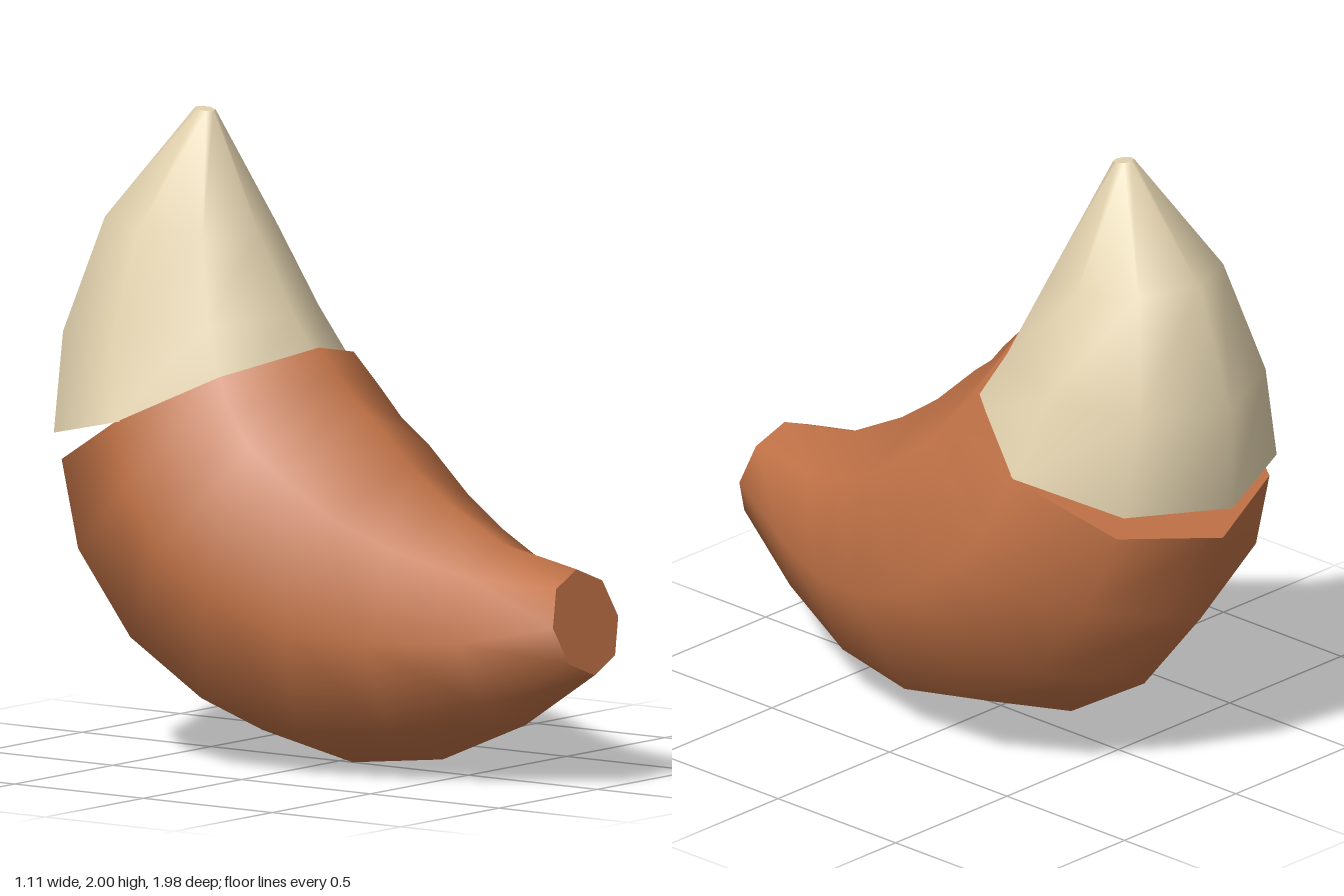
import * as THREE from 'three';

const SIDES = 8;

// Each ring: [innerZ, innerY, outerZ, outerY]; the octagon spans that diameter.
function ringPoints([iz, iy, oz, oy]) {
  const cz = (iz + oz) / 2, cy = (iy + oy) / 2;
  const uz = iz - cz, uy = iy - cy, r = Math.hypot(uz, uy);
  const points = [];
  for (let j = 0; j < SIDES; j++) {
    const a = (j / SIDES) * Math.PI * 2;
    points.push(new THREE.Vector3(Math.sin(a) * r, cy + Math.cos(a) * uy, cz + Math.cos(a) * uz));
  }
  return points;
}

function build(points, index) {
  const geometry = new THREE.BufferGeometry().setFromPoints(points);
  geometry.setIndex(index);
  geometry.computeVertexNormals();
  return geometry;
}

// Smooth skin lofted through the rings
function loft(rings) {
  const index = [];
  for (let i = 0; i < rings.length - 1; i++) {
    for (let j = 0; j < SIDES; j++) {
      const k = (j + 1) % SIDES;
      const a = i * SIDES + j, b = i * SIDES + k;
      index.push(a, b, b + SIDES, a, b + SIDES, a + SIDES);
    }
  }
  return build(rings.flatMap(ringPoints), index);
}

// Flat octagon closing one end
function cap(ring, atStart) {
  const index = [];
  for (let j = 1; j < SIDES - 1; j++) index.push(0, ...(atStart ? [j + 1, j] : [j, j + 1]));
  return build(ringPoints(ring), index);
}

function horn(name, rings, material) {
  const group = new THREE.Group();
  group.name = name;
  const add = (part, geometry) => {
    const mesh = new THREE.Mesh(geometry, material);
    mesh.name = name + part;
    group.add(mesh);
  };
  add('Skin', loft(rings));
  add('StartCap', cap(rings[0], true));
  add('EndCap', cap(rings[rings.length - 1], false));
  return group;
}

export function createModel() {
  const orange = new THREE.MeshStandardMaterial({ color: 0xc27347 });
  orange.name = 'orange';
  const cream = new THREE.MeshStandardMaterial({ color: 0xe2d2ae });
  cream.name = 'cream';

  const model = new THREE.Group();
  model.name = 'curvedTail';

  // Curved body, from the narrow front end round to the wide upper end
  model.add(horn('body', [
    [0.92, 0.685, 0.99, 0.36],
    [0.63, 0.74, 0.72, 0.18],
    [0.42, 0.85, 0.40, 0.045],
    [0.27, 0.955, 0.05, 0.005],
    [0.11, 1.10, -0.30, 0.075],
    [0.04, 1.155, -0.61, 0.26],
    [-0.01, 1.215, -0.85, 0.55],
    [-0.08, 1.288, -0.945, 0.85],
  ], orange));

  // Pale pointed tip, its tilted base partly sunk into the body
  model.add(horn('tip', [
    [-0.04, 1.18, -0.987, 0.962],
    [-0.18, 1.38, -0.975, 1.29],
    [-0.31, 1.62, -0.845, 1.665],
    [-0.49, 1.99, -0.555, 2.0],
  ], cream));

  return model;
}
